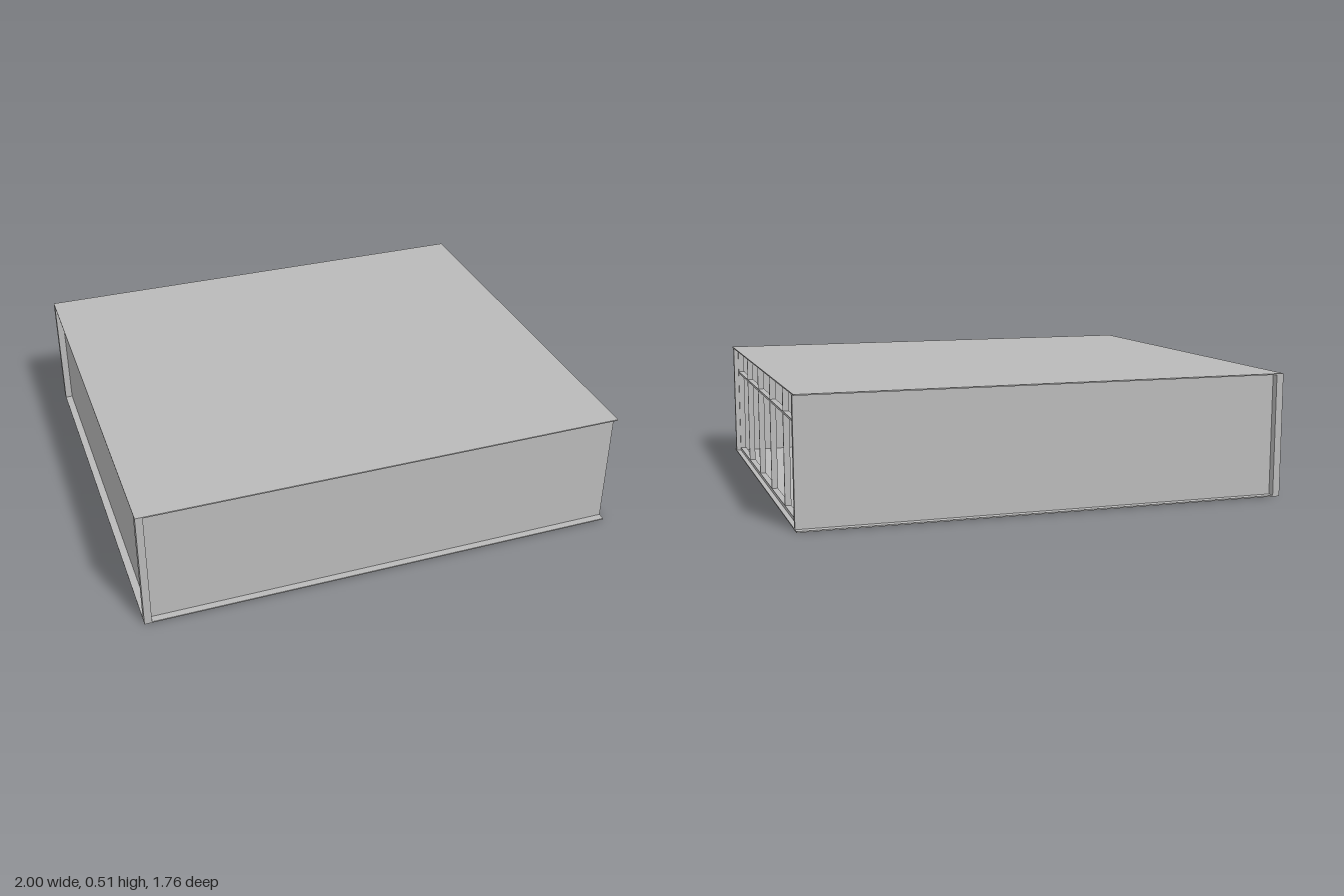
import * as THREE from 'three';

export function createModel() {
  const model = new THREE.Group();
  model.name = 'pavilion';
  const grey = new THREE.MeshStandardMaterial({ color: 0xbababa });
  grey.name = 'light grey';

  // Box given by its limits on each axis
  function box(name, [x0, x1], [y0, y1], [z0, z1], parent = model) {
    const mesh = new THREE.Mesh(new THREE.BoxGeometry(x1 - x0, y1 - y0, z1 - z0), grey);
    mesh.position.set((x0 + x1) / 2, (y0 + y1) / 2, (z0 + z1) / 2);
    mesh.name = name;
    parent.add(mesh);
    return mesh;
  }

  const W = 1, D = 0.88, H = 0.51, T = 0.005;
  const inside = [T, H - T];

  // Floor and roof slabs
  box('floor', [-W, W], [0, T], [-D, D]);
  box('roof', [-W, W], [H - T, H], [-D, D]);

  // Closed walls, set in slightly under the roof edge
  box('frontWall', [-0.97, W], inside, [0.828, 0.85]);
  box('backWall', [-0.97, W], inside, [-0.85, -0.828]);
  box('endWall', [-0.97, -0.948], inside, [-0.828, 0.828]);

  // Corner posts beside the closed end
  for (const s of [-1, 1]) {
    const z = [s * 0.85, s * D].sort((a, b) => a - b);
    box('cornerPost', [-W, -0.97], inside, z);
  }

  // Open glazing frame with five bays and a transom
  const frame = new THREE.Group();
  frame.name = 'windowFrame';
  model.add(frame);
  const fx = [0.955, 0.98], span = [-0.828, 0.828];
  box('sill', fx, [T, 0.018], span, frame);
  box('head', fx, [0.49, H - T], span, frame);
  box('transom', fx, [0.385, 0.394], span, frame);
  for (const z of [-0.824, -0.502, -0.167, 0.167, 0.502, 0.824]) {
    box('mullion', fx, [0.018, 0.49], [z - 0.004, z + 0.004], frame);
  }

  // Suspended ceiling
  box('ceiling', [-0.948, 0.9], [0.458, 0.461], span);

  // Low bench in the middle of the room
  const bench = new THREE.Group();
  bench.name = 'bench';
  model.add(bench);
  box('benchTop', [-0.25, 0.25], [0.05, 0.057], [-0.108, 0.108], bench);
  for (const x of [-0.23, 0.23]) {
    for (const z of [-0.085, 0.085]) {
      box('benchLeg', [x - 0.004, x + 0.004], [T, 0.05], [z - 0.003, z + 0.003], bench);
    }
  }
  return model;
}
